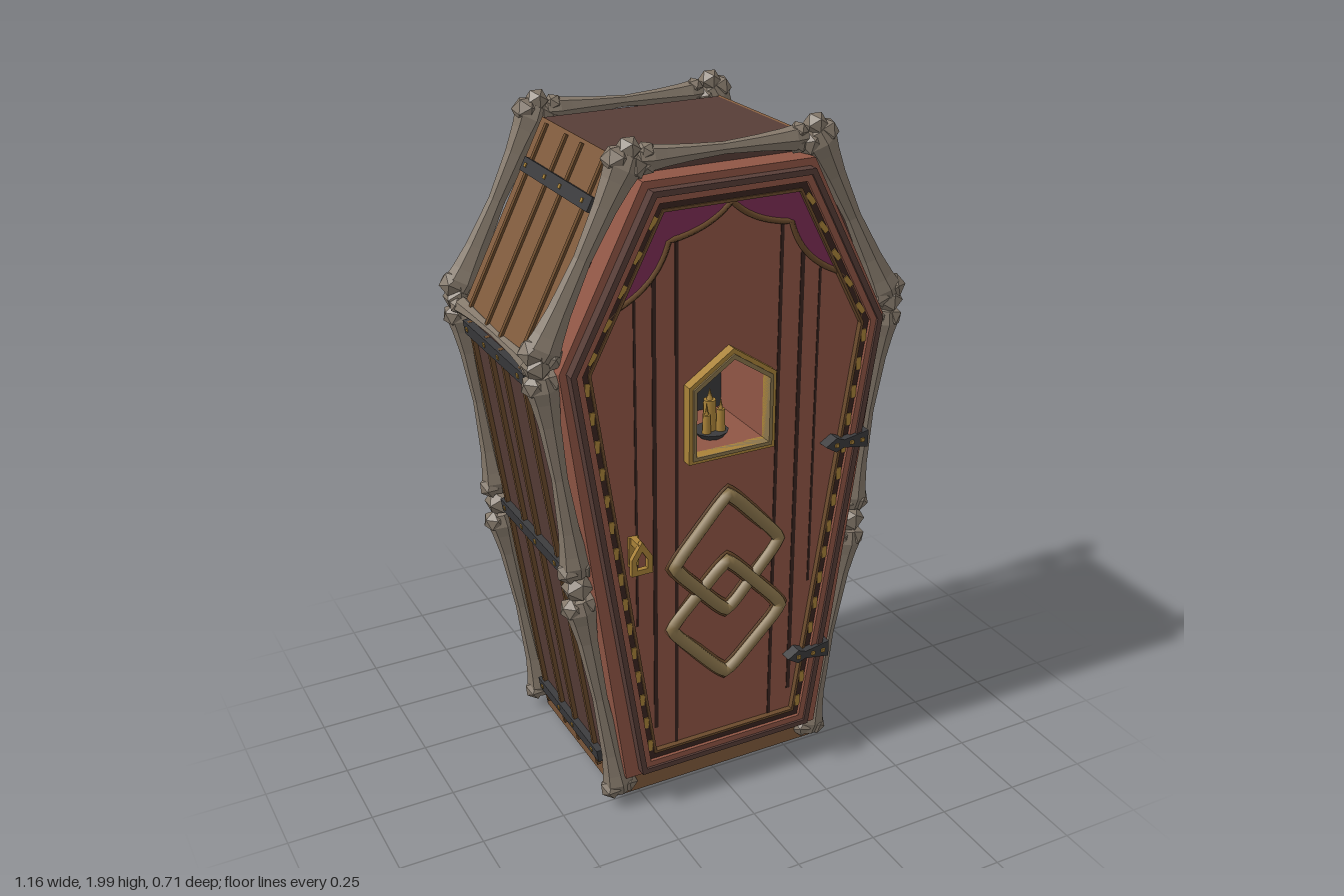
import * as THREE from 'three';

const M = {};
for (const [name, color] of Object.entries({
  maroonWood: 0x573d37, brownWood: 0x7f5a3c, redWood: 0x905645, darkGroove: 0x38241f, iron: 0x3a3a3c,
  gold: 0xa98238, bone: 0x84786a, curtain: 0x7d2d56, antiqueBrass: 0x8b754c, trimBrown: 0x6a4a2c,
})) M[name] = Object.assign(new THREE.MeshStandardMaterial({ color }), { name });

const V3 = (x, y, z) => new THREE.Vector3(x, y, z);

function add(parent, name, geo, mat, x = 0, y = 0, z = 0) {
  const m = new THREE.Mesh(geo, mat);
  m.name = name;
  m.position.set(x, y, z);
  parent.add(m);
  return m;
}
const flat = (g) => { const n = g.index ? g.toNonIndexed() : g; n.computeVertexNormals(); return n; };
const box = (w, h, d) => new THREE.BoxGeometry(w, h, d);

// Coffin outline, counter-clockwise: [half width, y] at foot, shoulder and head
const coffin = (foot, shoulder, head) => [
  [-foot[0], foot[1]], foot, shoulder, head, [-head[0], head[1]], [-shoulder[0], shoulder[1]]];
const house = (hw, y0, ys, yt, cx = 0) => [[cx - hw, y0], [cx + hw, y0], [cx + hw, ys], [cx, yt], [cx - hw, ys]];

// Moves every edge of a counter-clockwise outline inwards by d
function inset(pts, d) {
  const n = pts.length;
  const normal = (i) => {
    const [ax, ay] = pts[(i + n) % n], [bx, by] = pts[(i + 1) % n], l = Math.hypot(bx - ax, by - ay);
    return [-(by - ay) / l, (bx - ax) / l];
  };
  return pts.map(([x, y], i) => {
    const a = normal(i - 1), b = normal(i), k = d / (1 + a[0] * b[0] + a[1] * b[1]);
    return [x + k * (a[0] + b[0]), y + k * (a[1] + b[1])];
  });
}

// Flat slab between two depths, with an optional hole
function slab(parent, name, pts, z0, z1, mat, hole) {
  const s = new THREE.Shape(pts.map((p) => new THREE.Vector2(...p)));
  if (hole) s.holes.push(new THREE.Path(hole.map((p) => new THREE.Vector2(...p))));
  return add(parent, name, new THREE.ExtrudeGeometry(s, { depth: z1 - z0, bevelEnabled: false }), mat, 0, 0, z0);
}

// Faceted bone with a lumpy joint at each end
function bone(parent, a, b, r = 0.026, name = 'bone') {
  const g = new THREE.Group(), L = a.distanceTo(b), k = r * 1.75;
  g.name = name;
  const prof = [[0, -0.02], [k * 0.75, -0.012], [k, 0.025], [k * 0.85, 0.06], [r * 1.15, 0.13], [r * 0.85, L * 0.5],
    [r * 1.15, L - 0.13], [k * 0.85, L - 0.06], [k, L - 0.025], [k * 0.75, L + 0.012], [0, L + 0.02]];
  const shaft = add(g, 'shaft', flat(new THREE.LatheGeometry(prof.map((p) => new THREE.Vector2(...p)), 7)), M.bone);
  shaft.scale.z = 0.8;
  for (const y of [0.01, L - 0.01]) for (const s of [-1, 1]) {
    const lump = add(g, 'knuckle', new THREE.IcosahedronGeometry(r * 1.35, 0), M.bone, s * r * 0.95, y, 0);
    lump.rotation.set(y, s, 0.4);
    lump.scale.z = 0.9;
  }
  g.position.copy(a);
  g.quaternion.setFromUnitVectors(V3(0, 1, 0), b.clone().sub(a).normalize());
  parent.add(g);
}

function buildBody(root) {
  const g = new THREE.Group();
  g.name = 'coffinBody';
  const outline = coffin([0.34, 0.1], [0.53, 1.42], [0.27, 1.93]);
  slab(g, 'bodyCore', outline, -0.26, 0.055, M.maroonWood);
  slab(g, 'bodyWalls', outline, 0.055, 0.23, M.maroonWood, inset(outline, 0.06));
  slab(g, 'base', [[-0.33, 0.03], [0.33, 0.03], [0.34, 0.1], [-0.34, 0.1]], -0.255, 0.27, M.brownWood);
  slab(g, 'baseBack', [[-0.33, 0.03], [0.33, 0.03], [0.34, 0.1], [-0.34, 0.1]], -0.26, -0.255, M.maroonWood);
  slab(g, 'baseLedge', [[-0.3, 0.1], [0.3, 0.1], [0.3, 0.13], [-0.3, 0.13]], 0.23, 0.285, M.brownWood);

  // Side panels with battens, iron bands and rivets
  const sides = [
    { a: [0.34, 0.1], b: [0.53, 1.42], bands: [0.14, 0.8, 1.38], planks: false },
    { a: [0.53, 1.42], b: [0.27, 1.93], bands: [1.81], planks: true }];
  const battens = [0.16, 0.02, -0.08, -0.21];
  for (const s of [-1, 1]) for (const { a, b, bands, planks } of sides) {
    const p = new THREE.Group(), L = Math.hypot(b[0] - a[0], b[1] - a[1]);
    p.name = planks ? 'upperSide' : 'lowerSide';
    p.position.set(s * a[0], a[1], 0);
    p.rotation.z = Math.atan2(-s * (b[0] - a[0]), b[1] - a[1]);
    if (planks) add(p, 'planks', box(0.012, L, 0.488), M.brownWood, 0, L / 2, -0.015);
    for (const z of battens) add(p, 'batten', box(0.026, L - (planks ? 0.02 : 0), 0.014), M.trimBrown, 0, L / 2 - (planks ? 0 : 0.02), z);
    for (const y of bands) {
      const t = L * (y - a[1]) / (b[1] - a[1]);
      add(p, 'ironBand', box(0.04, 0.04, 0.44), M.iron, 0, t, -0.015);
      for (const z of battens) add(p, 'rivet', box(0.046, 0.012, 0.012), M.gold, 0, t, z);
    }
    g.add(p);
  }
  root.add(g);
}

function buildDoor(root) {
  const g = new THREE.Group();
  g.name = 'door';
  const hole = house(0.112, 1.12, 1.31, 1.385);
  slab(g, 'doorPanel', coffin([0.32, 0.11], [0.49, 1.42], [0.25, 1.89]), 0.06, 0.305, M.redWood, hole);

  // Stepped mouldings round the door
  const lid = coffin([0.28, 0.13], [0.47, 1.42], [0.235, 1.87]);
  const ring = (name, d0, d1, z, mat) => slab(g, name, inset(lid, d0), 0.295, z, mat, inset(lid, d1));
  ring('outerRim', 0, 0.016, 0.335, M.maroonWood);
  ring('rimMoulding', 0.016, 0.034, 0.328, M.redWood);
  ring('groove', 0.034, 0.052, 0.318, M.darkGroove);
  ring('innerTrim', 0.052, 0.06, 0.322, M.trimBrown);

  // Gold dashes in the groove
  const mid = inset(lid, 0.043);
  for (const s of [-1, 1]) for (const [i, j, n] of [[1, 2, 15], [2, 3, 5]]) {
    const [ax, ay] = mid[i], [bx, by] = mid[j];
    for (let k = 0; k < n; k++) {
      const t = (k + 0.5) / n;
      add(g, 'goldDash', box(0.015, 0.036, 0.008), M.gold, s * (ax + (bx - ax) * t), ay + (by - ay) * t, 0.317)
        .rotation.z = Math.atan2(-s * (bx - ax), by - ay) + s * 0.2;
    }
  }

  // Plank seams
  for (const s of [-1, 1]) for (const [x, y0, y1, w] of [[0.156, 0.19, 1.75, 0.01], [0.222, 0.26, 1.7, 0.012], [0.278, 0.62, 1.62, 0.007]])
    add(g, 'plankSeam', box(w, y1 - y0, 0.004), M.darkGroove, s * x, (y0 + y1) / 2, 0.305);

  // Draped curtain with scalloped hem
  const hem = new THREE.Path().moveTo(0, 1.81);
  hem.quadraticCurveTo(0.06, 1.745, 0.18, 1.73).quadraticCurveTo(0.21, 1.62, 0.33, 1.57).quadraticCurveTo(0.40, 1.52, 0.415, 1.40);
  const half = hem.getPoints(8).map((p) => [p.x, p.y]);
  const swag = [...half.slice(1).reverse().map(([x, y]) => [-x, y]), ...half];
  const edge = inset(lid, 0.045);
  slab(g, 'curtain', [...swag, edge[2], edge[3], edge[4], edge[5]], 0.303, 0.311, M.curtain);
  for (const s of [-1, 1]) {
    const path = new THREE.CurvePath();
    for (let i = 0; i < half.length - 1; i++)
      path.add(new THREE.LineCurve3(V3(s * half[i][0], half[i][1], 0.311), V3(s * half[i + 1][0], half[i + 1][1], 0.311)));
    add(g, 'curtainTrim', new THREE.TubeGeometry(path, 40, 0.008, 4), M.trimBrown);
  }

  // Window niche with candles
  slab(g, 'windowFrame', house(0.133, 1.1, 1.325, 1.415), 0.3, 0.335, M.gold, hole);
  slab(g, 'windowInnerFrame', house(0.122, 1.11, 1.318, 1.4), 0.3, 0.34, M.antiqueBrass, hole);
  slab(g, 'nicheBack', house(0.13, 1.1, 1.33, 1.4), 0.058, 0.066, M.iron);
  add(g, 'candleDish', new THREE.CylinderGeometry(0.05, 0.035, 0.018, 10), M.iron, -0.01, 1.13, 0.23);
  for (const [x, z, r, h] of [[-0.012, 0.225, 0.021, 0.09], [-0.032, 0.245, 0.013, 0.055], [0.012, 0.245, 0.014, 0.065]]) {
    add(g, 'candle', new THREE.CylinderGeometry(r * 0.85, r, h, 8), M.gold, x, 1.138 + h / 2, z);
    add(g, 'flame', new THREE.ConeGeometry(r * 0.45, 0.035, 6), M.gold, x, 1.155 + h, z);
  }

  // Interlocking diamond rings, tilted so they weave
  for (const [cy, tilt] of [[0.79, -0.06], [0.58, 0.06]]) {
    const pts = [], c = 0.18, q = 0.8;
    for (let i = 0; i < 4; i++) {
      const a = i * Math.PI / 2, u = [Math.cos(a), Math.sin(a)], v = [-u[1], u[0]];
      for (const [p, o] of [[q, q - 1], [0.95, -0.02], [0.95, 0.02], [q, 1 - q]])
        pts.push(V3(c * (u[0] * p + v[0] * o), cy + 1.07 * c * (u[1] * p + v[1] * o), 0));
    }
    pts.forEach((p) => { p.z = 0.314 + tilt * p.x; });
    const curve = new THREE.CatmullRomCurve3(pts, true, 'catmullrom', 0.2);
    add(g, 'diamondRing', new THREE.TubeGeometry(curve, 64, 0.02, 6, true), M.antiqueBrass);
    for (const k of [0.87, 1.13]) {
      const rail = new THREE.CatmullRomCurve3(pts.map((p) => V3(p.x * k, cy + (p.y - cy) * k, p.z - 0.004)), true, 'catmullrom', 0.2);
      add(g, 'ringEdge', new THREE.TubeGeometry(rail, 64, 0.006, 4, true), M.trimBrown);
    }
  }

  // Handle on a short post
  slab(g, 'handle', house(0.032, 0.82, 0.87, 0.92, -0.29), 0.35, 0.365, M.gold, house(0.016, 0.836, 0.864, 0.89, -0.29));
  add(g, 'handlePost', box(0.018, 0.02, 0.06), M.gold, -0.29, 0.9, 0.33);
  add(g, 'handlePlate', box(0.03, 0.09, 0.008), M.gold, -0.29, 0.865, 0.309);

  // Pointed strap hinges
  for (const [x, y] of [[0.3, 1.06], [0.2, 0.385]]) {
    slab(g, 'hinge', [[x, y], [x + 0.035, y - 0.022], [x + 0.06, y - 0.012], [x + 0.14, y - 0.026],
      [x + 0.14, y + 0.026], [x + 0.06, y + 0.012], [x + 0.035, y + 0.022]], 0.3, 0.34, M.iron);
    for (const dx of [0.035, 0.085, 0.12]) add(g, 'hingeRivet', box(0.011, 0.011, 0.008), M.gold, x + dx, y, 0.341);
  }
  root.add(g);
}

// Bone frames round the front and back edges, joined at the shoulders
function buildBones(root) {
  const g = new THREE.Group();
  g.name = 'boneFrame';
  for (const z of [0.265, -0.31]) {
    for (const s of [-1, 1]) {
      bone(g, V3(s * 0.275, 1.94, z), V3(s * 0.525, 1.46, z), 0.029);
      bone(g, V3(s * 0.52, 1.4, z), V3(s * 0.44, 0.82, z), 0.027);
      bone(g, V3(s * 0.435, 0.72, z), V3(s * 0.325, 0.06, z), 0.027);
      add(g, 'kneecap', new THREE.IcosahedronGeometry(0.045, 0), M.bone, s * 0.44, 0.77, z);
      add(g, 'topKnob', new THREE.IcosahedronGeometry(0.034, 0), M.bone, s * 0.27, 1.966, z);
      add(g, 'shoulderKnob', new THREE.IcosahedronGeometry(0.042, 0), M.bone, s * 0.532, 1.44, z);
    }
    bone(g, V3(-0.23, 1.935, z), V3(0.23, 1.935, z), 0.02, 'topBone');
  }
  bone(g, V3(-0.29, 0.045, -0.31), V3(0.29, 0.045, -0.31), 0.02, 'bottomBone');
  for (const s of [-1, 1]) bone(g, V3(s * 0.527, 1.425, 0.25), V3(s * 0.527, 1.425, -0.29), 0.018, 'shoulderBone');
  root.add(g);
}

export function createModel() {
  const root = new THREE.Group();
  root.name = 'coffin';
  buildBody(root);
  buildDoor(root);
  buildBones(root);
  return root;
}
